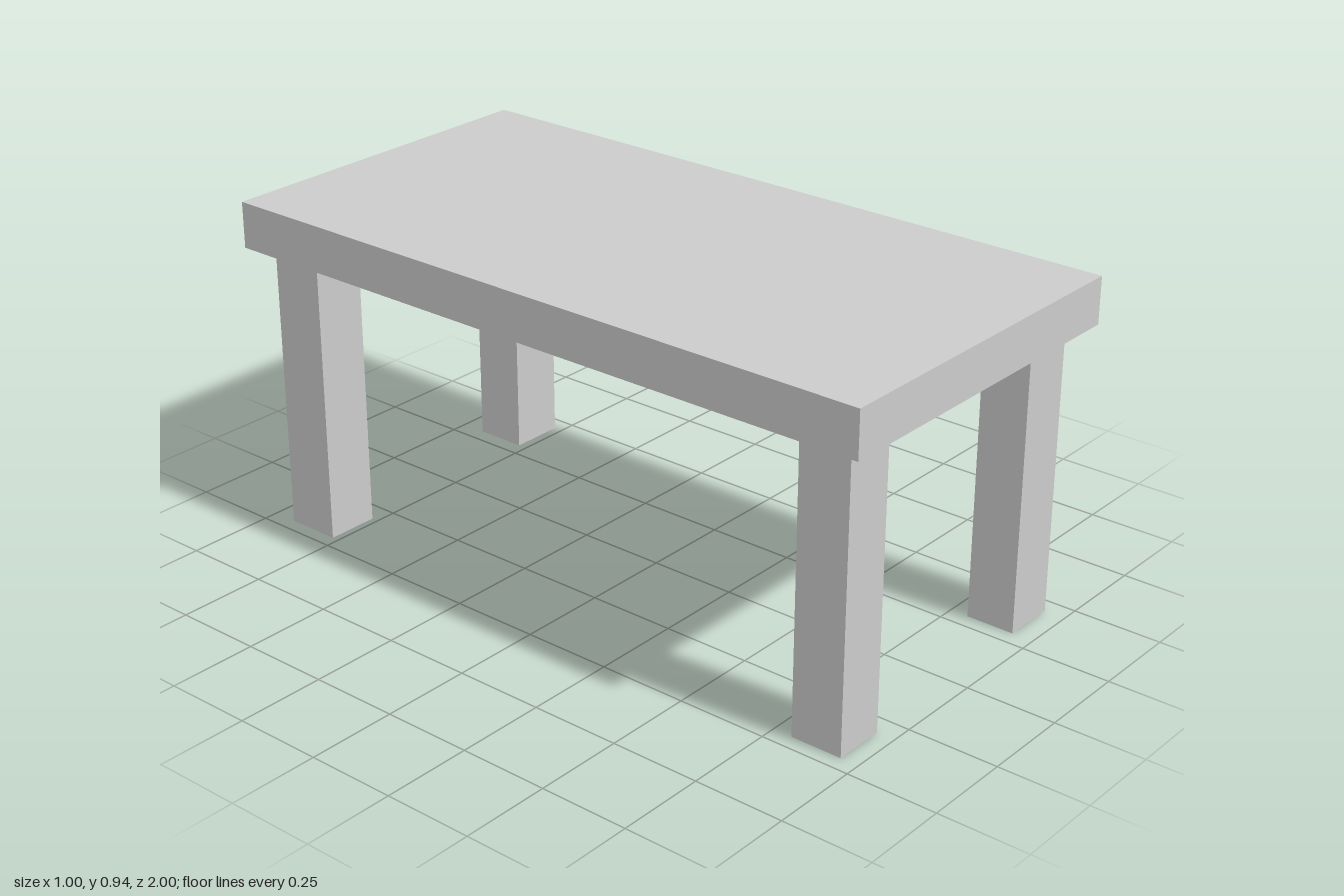
import * as THREE from 'three';

export function createModel() {
  const model = new THREE.Group();
  model.name = 'table';
  const material = new THREE.MeshStandardMaterial({ color: 0xcccccc, flatShading: true });

  // Box given by its extents along each axis
  const addBox = (name, [x0, x1], [y0, y1], [z0, z1]) => {
    const mesh = new THREE.Mesh(new THREE.BoxGeometry(x1 - x0, y1 - y0, z1 - z0), material);
    mesh.position.set((x0 + x1) / 2, (y0 + y1) / 2, (z0 + z1) / 2);
    mesh.name = name;
    model.add(mesh);
  };

  const underside = 0.807;
  addBox('tableTop', [-0.502, 0.502], [underside, 0.936], [-1, 1]);

  // Four square legs, each set slightly differently
  const legs = [
    ['frontLeftLeg', [0.297, 0.451], [0.802, 0.939]],
    ['frontRightLeg', [-0.456, -0.31], [0.804, 0.949]],
    ['backLeftLeg', [0.296, 0.453], [-0.926, -0.777]],
    ['backRightLeg', [-0.46, -0.31], [-0.927, -0.771]],
  ];
  for (const [name, x, z] of legs) addBox(name, x, [0, underside], z);

  return model;
}
